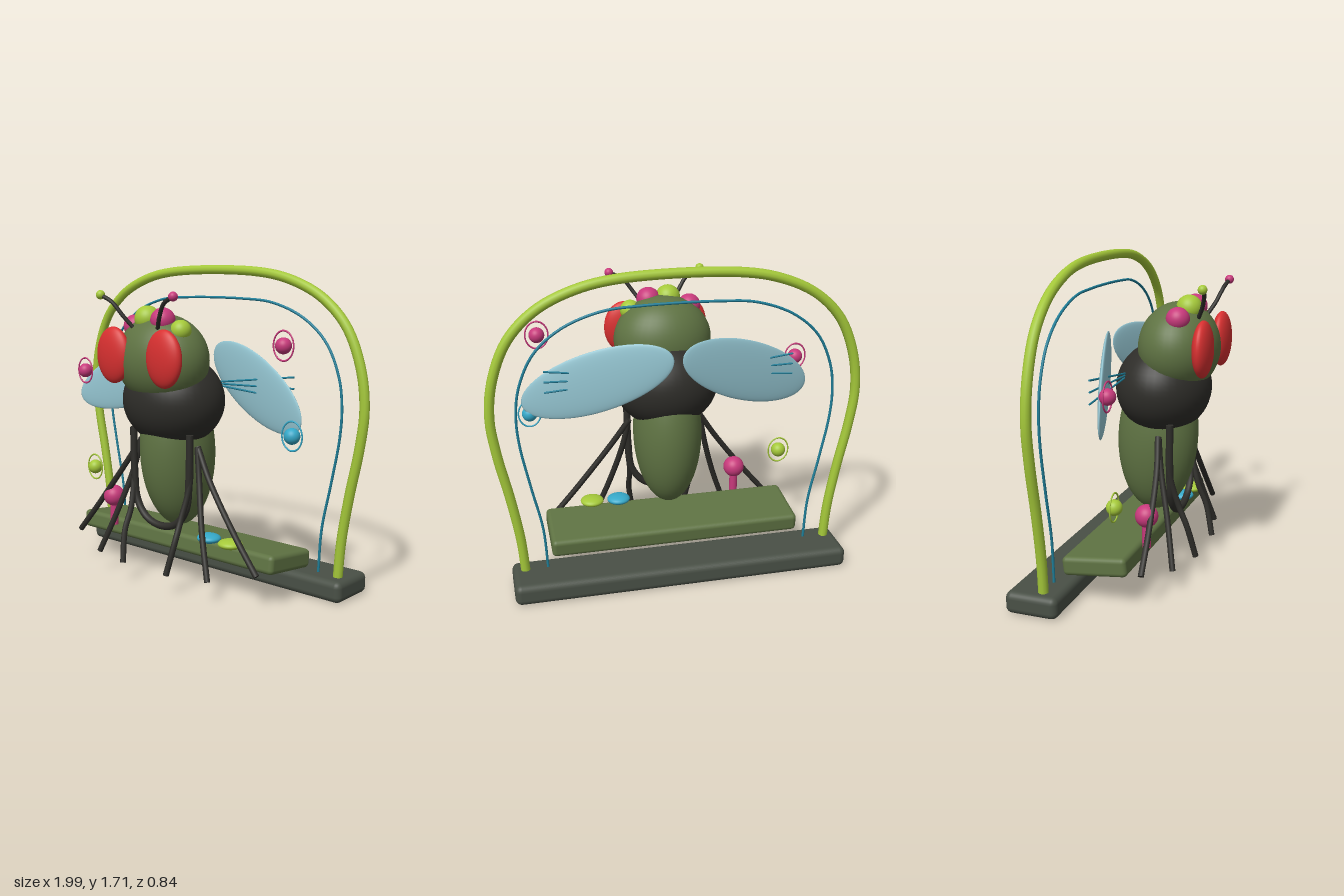
import * as THREE from 'three';
import { RoundedBoxGeometry } from 'three/addons/geometries/RoundedBoxGeometry.js';

const mat = (name, color) => Object.assign(new THREE.MeshStandardMaterial({ color }), { name });

export function createModel() {
  const model = new THREE.Group();
  model.name = 'flyOnSwing';

  const olive = mat('olive', 0x5f7343);
  const slate = mat('slate', 0x495046);
  const charcoal = mat('charcoal', 0x2e2d29);
  const red = mat('red', 0xd83030);
  const paleBlue = mat('paleBlue', 0x95c6d2);
  const lime = mat('lime', 0xa5c93a);
  const pink = mat('pink', 0xc83a7c);
  const blue = mat('blue', 0x35a8c8);
  const teal = mat('teal', 0x1f7f99);

  const add = (name, geometry, material, x = 0, y = 0, z = 0) => {
    const mesh = new THREE.Mesh(geometry, material);
    mesh.name = name;
    mesh.position.set(x, y, z);
    model.add(mesh);
    return mesh;
  };
  const ellipsoid = (name, material, pos, rx, ry = rx, rz = rx) =>
    add(name, new THREE.SphereGeometry(1, 40, 28).scale(rx, ry, rz), material, ...pos);
  const tube = (name, material, points, radius, segments = 32) => {
    const pts = points.map((p) => new THREE.Vector3(...p));
    const curve = new THREE.CatmullRomCurve3(pts, false, 'centripetal');
    const mesh = add(name, new THREE.TubeGeometry(curve, segments, radius, 10), material);
    // Closed ends
    for (const end of [0, 1]) {
      const cap = new THREE.Mesh(new THREE.CircleGeometry(radius, 10), material);
      cap.name = name + 'End';
      cap.position.copy(curve.getPoint(end));
      const out = curve.getTangent(end).multiplyScalar(end ? 1 : -1);
      cap.quaternion.setFromUnitVectors(new THREE.Vector3(0, 0, 1), out);
      mesh.add(cap);
    }
    return mesh;
  };
  // Mirrors half an arch, listed from the foot to the crown
  const arch = (name, material, half, z, radius) => {
    const left = half.map(([x, y]) => [-x, y, z]);
    const right = half.map(([x, y]) => [x, y, z]).reverse();
    return tube(name, material, [...left, ...right], radius, 120);
  };

  // Base, tilted seat and the two arches
  add('base', new RoundedBoxGeometry(1.83, 0.115, 0.28, 3, 0.035), slate, 0, 0.0575, -0.28);
  const seat = add('seat', new RoundedBoxGeometry(1.39, 0.1, 0.345, 3, 0.025), olive, 0, 0.208, -0.035);
  seat.rotation.x = -0.11;
  arch('outerArch', lime, [[0.845, 0.1], [0.86, 0.3], [0.9, 0.55], [0.95, 0.8], [0.972, 1.0],
    [0.945, 1.2], [0.86, 1.4], [0.72, 1.54], [0.53, 1.63], [0.3, 1.675]], -0.235, 0.026);
  arch('innerWire', teal, [[0.725, 0.11], [0.74, 0.35], [0.79, 0.6], [0.835, 0.85], [0.842, 1.0],
    [0.82, 1.15], [0.74, 1.32], [0.6, 1.44], [0.4, 1.515], [0.2, 1.532]], -0.235, 0.007);

  // Body
  ellipsoid('abdomen', olive, [0, 0.72, 0.067], 0.19, 0.42, 0.222).rotation.x = 0.06;
  ellipsoid('thorax', charcoal, [0, 1.0, 0.1], 0.29, 0.25, 0.255);
  ellipsoid('head', olive, [0, 1.22, 0.185], 0.27, 0.24, 0.215);
  tube('bellyLoop', charcoal, [[-0.205, 0.84, 0.2], [-0.2, 0.6, 0.2], [-0.18, 0.44, 0.2], [-0.11, 0.35, 0.2],
    [0, 0.32, 0.2], [0.11, 0.35, 0.2], [0.18, 0.44, 0.2], [0.2, 0.6, 0.2], [0.205, 0.84, 0.2]], 0.02, 60);

  for (const s of [-1, 1]) {
    // Eyes
    ellipsoid('eye', red, [s * 0.18, 1.245, 0.366], 0.115, 0.148, 0.05);

    // Wings, swept forward and drooping
    const wing = ellipsoid('wing', paleBlue, [s * 0.41, 1.09, -0.077], 0.432, 0.165, 0.022);
    wing.rotation.set(0, -s * 0.32, -s * 0.36);

    // Bristles that fan out from the thorax through the wings
    for (const spread of [-1, 0, 1]) {
      tube('bristle', teal, [[s * 0.1, 1.085, -0.045], [s * 0.68, 1.1 + spread * 0.058, -0.045]], 0.005, 2);
    }

    // Legs
    tube('frontLeg', charcoal, [[s * 0.205, 0.84, 0.2], [s * 0.205, 0.58, 0.2], [s * 0.185, 0.4, 0.245],
      [s * 0.185, 0.28, 0.295], [s * 0.16, 0.11, 0.337]], 0.016);
    tube('middleLeg', charcoal, [[s * 0.205, 0.77, 0.14], [s * 0.24, 0.6, 0.165],
      [s * 0.31, 0.36, 0.225], [s * 0.4, 0.115, 0.285]], 0.016);
    tube('rearLeg', charcoal, [[s * 0.205, 0.77, 0.135], [s * 0.31, 0.61, 0.165],
      [s * 0.5, 0.36, 0.19], [s * 0.65, 0.18, 0.202]], 0.016);

    // Antennae with coloured tips
    tube('antenna', charcoal, [[s * 0.085, 1.385, 0.31], [s * 0.13, 1.45, 0.345],
      [s * 0.185, 1.52, 0.37], [s * 0.258, 1.556, 0.382]], 0.011);
    ellipsoid('antennaTip', s < 0 ? lime : pink, [s * 0.258, 1.556, 0.382], 0.024);
  }

  // Row of beads across the crown
  for (const [x, y, z, r, m] of [[-0.16, 1.39, 0.225, 0.062, pink], [-0.045, 1.435, 0.25, 0.068, lime],
    [0.065, 1.43, 0.25, 0.065, pink], [0.17, 1.38, 0.23, 0.055, lime]]) {
    ellipsoid('crownBead', m, [x, y, z], r);
  }

  // Floating baubles, each inside an oval ring
  for (const [x, y, m] of [[-0.735, 1.1, pink], [0.695, 1.322, pink], [-0.663, 0.53, lime], [0.755, 0.885, blue]]) {
    ellipsoid('bauble', m, [x, y, 0.07], 0.041);
    add('baubleRing', new THREE.TorusGeometry(0.06, 0.004, 8, 40).scale(1, 1.22, 1), m, x, y, 0.07);
  }

  // Ornaments on the seat
  add('knobStem', new THREE.CylinderGeometry(0.023, 0.023, 0.15, 20), pink, -0.42, 0.315, 0.15);
  ellipsoid('knob', pink, [-0.42, 0.41, 0.15], 0.06);
  ellipsoid('bluePebble', blue, [0.275, 0.289, 0.125], 0.065, 0.026, 0.062);
  ellipsoid('limePebble', lime, [0.427, 0.289, 0.135], 0.066, 0.026, 0.064);

  return model;
}
